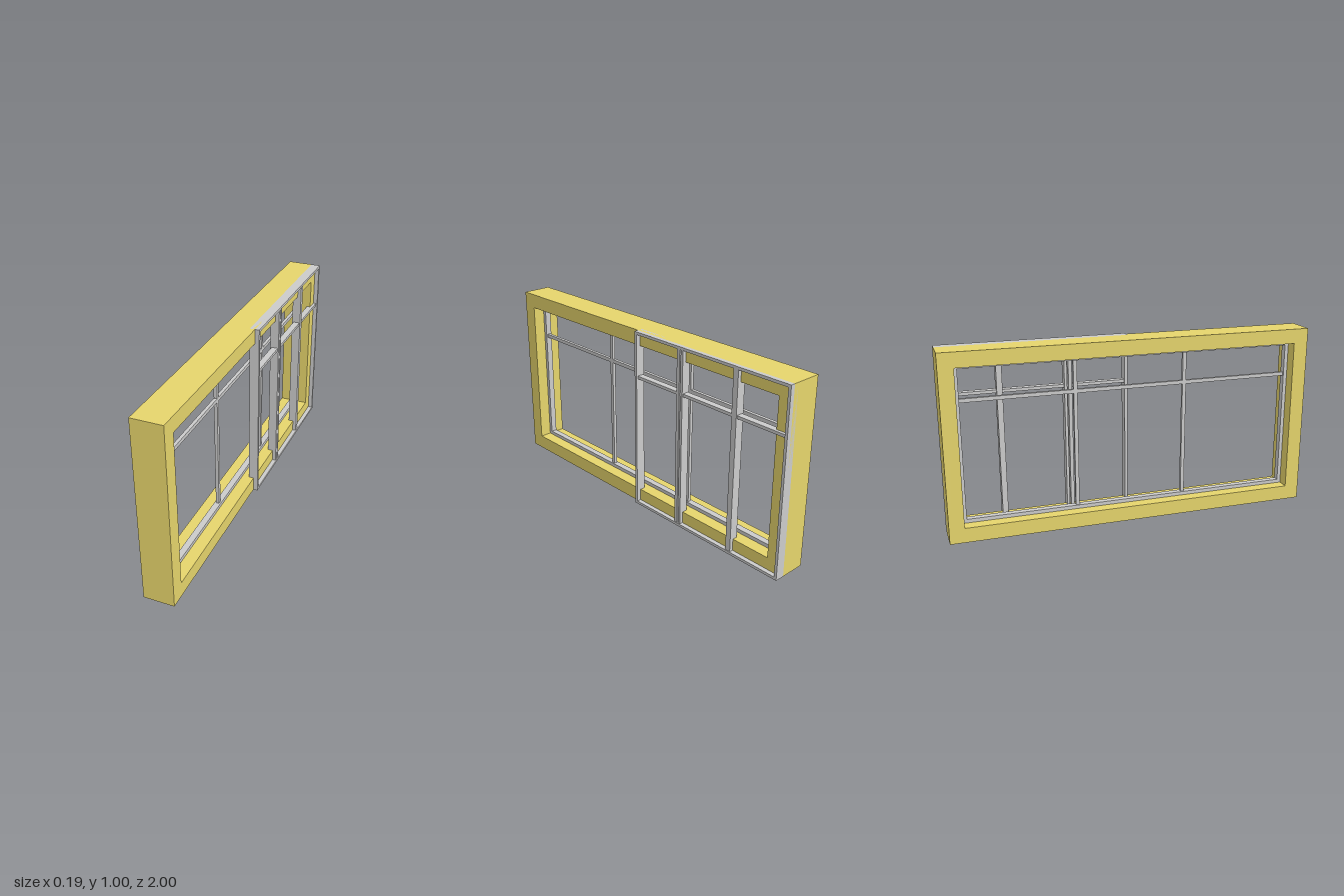
import * as THREE from 'three';

const yellow = new THREE.MeshStandardMaterial({ color: 0xe6d56c });
const grey = new THREE.MeshStandardMaterial({ color: 0xcccccc });

// Rectangular frame in the z-y plane, extruded along x
function frame(name, [z0, z1], [y0, y1], [x0, x1], border, material) {
  const rect = (path, b) => path
    .moveTo(-z1 + b, y0 + b).lineTo(-z0 - b, y0 + b)
    .lineTo(-z0 - b, y1 - b).lineTo(-z1 + b, y1 - b).closePath();
  const shape = new THREE.Shape();
  const hole = new THREE.Path();
  rect(shape, 0);
  rect(hole, border);
  shape.holes.push(hole);
  const geometry = new THREE.ExtrudeGeometry(shape, { depth: x1 - x0, bevelEnabled: false });
  geometry.rotateY(Math.PI / 2).translate(x0, 0, 0);
  const mesh = new THREE.Mesh(geometry, material);
  mesh.name = name;
  return mesh;
}

// Straight bar given by its extents
function bar(name, [z0, z1], [y0, y1], [x0, x1]) {
  const mesh = new THREE.Mesh(new THREE.BoxGeometry(x1 - x0, y1 - y0, z1 - z0), grey);
  mesh.position.set((x0 + x1) / 2, (y0 + y1) / 2, (z0 + z1) / 2);
  mesh.name = name;
  return mesh;
}

export function createModel() {
  const model = new THREE.Group();
  model.name = 'window';

  // Deep outer casing
  model.add(frame('casing', [-1, 1], [0, 1], [-0.094, 0.07], 0.08, yellow));

  // Fixed window in the middle of the casing
  const fixed = new THREE.Group();
  fixed.name = 'fixedWindow';
  const fixedX = [-0.022, -0.004];
  fixed.add(frame('fixedFrame', [-0.92, 0.92], [0.08, 0.92], [-0.03, 0.004], 0.02, grey));
  for (const z of [-0.303, 0.303]) {
    fixed.add(bar('fixedMullion', [z - 0.01, z + 0.01], [0.1, 0.9], fixedX));
  }
  fixed.add(bar('fixedCrossbar', [-0.9, 0.9], [0.725, 0.745], fixedX));
  model.add(fixed);

  // Sliding sash on the outer face, covering the rear half
  const sash = new THREE.Group();
  sash.name = 'slidingSash';
  const sashX = [0.042, 0.094];
  sash.add(frame('sashFrame', [-1, 0], [0, 1], sashX, 0.015, grey));
  for (const [z0, z1] of [[-0.324, -0.305], [-0.346, -0.331], [-0.7, -0.67]]) {
    sash.add(bar('sashMullion', [z0, z1], [0.015, 0.985], [sashX[0], 0.09]));
  }
  sash.add(bar('sashCrossbar', [-0.985, -0.015], [0.742, 0.758], [0.05, 0.086]));
  model.add(sash);

  return model;
}
